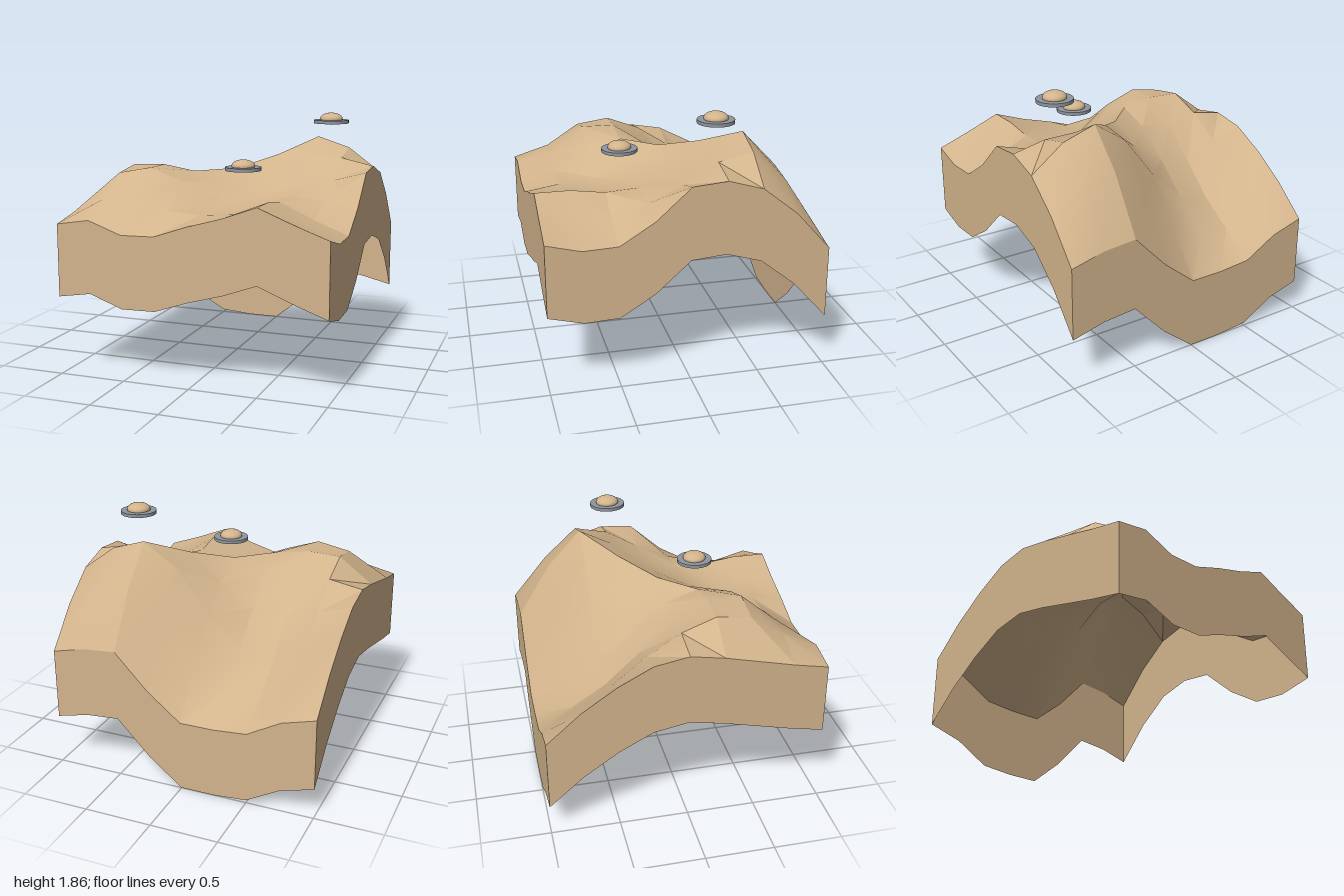
import * as THREE from 'three';
import { toCreasedNormals } from 'three/addons/utils/BufferGeometryUtils.js';

// Ground heights, one row per z from back to front, one column per x
const HEIGHTS = [
  [0.77, 0.70, 0.56, 0.54, 0.54, 0.74, 1.00, 0.98, 0.92],
  [0.99, 0.86, 0.72, 0.74, 0.86, 1.15, 1.40, 1.36, 1.20],
  [1.16, 1.02, 0.88, 0.95, 1.18, 1.50, 1.665, 1.585, 1.40],
  [1.29, 1.22, 1.11, 1.17, 1.33, 1.54, 1.535, 1.53, 1.475],
  [1.335, 1.38, 1.33, 1.36, 1.45, 1.40, 1.37, 1.385, 1.455],
  [1.29, 1.475, 1.485, 1.445, 1.35, 1.285, 1.30, 1.27, 1.23],
  [1.23, 1.44, 1.487, 1.40, 1.23, 1.22, 1.285, 1.17, 1.075],
  [1.17, 1.28, 1.28, 1.22, 1.20, 1.22, 1.32, 1.18, 1.065],
  [1.12, 1.16, 1.07, 1.075, 1.16, 1.23, 1.32, 1.22, 1.13],
];
const CELLS = 8;
const SKIRT = 0.53;

export function createModel() {
  const model = new THREE.Group();
  const sand = new THREE.MeshStandardMaterial({ color: 0xd2b48c, side: THREE.DoubleSide });
  sand.name = 'sand';
  const grey = new THREE.MeshStandardMaterial({ color: 0x8e959d });
  grey.name = 'grey';

  const add = (name, geometry, material, parent = model) => {
    const mesh = new THREE.Mesh(geometry, material);
    mesh.name = name;
    parent.add(mesh);
    return mesh;
  };

  // Rolling ground surface
  const ground = new THREE.PlaneGeometry(2, 2, CELLS, CELLS).rotateX(-Math.PI / 2);
  const p = ground.attributes.position;
  for (let i = 0; i < p.count; i++) {
    p.setY(i, HEIGHTS[Math.floor(i / (CELLS + 1))][i % (CELLS + 1)]);
  }
  add('terrain', toCreasedNormals(ground, 0.4), sand);

  // Side walls hang from the ground's edge; the underside stays open
  const wall = (name, heights, turn) => {
    const g = new THREE.PlaneGeometry(2, 1, CELLS, 1);
    const q = g.attributes.position;
    for (let i = 0; i <= CELLS; i++) {
      q.setY(i, heights[i]);
      q.setY(i + CELLS + 1, heights[i] - SKIRT);
    }
    g.translate(0, 0, 1).rotateY(turn);
    add(name, g, sand);
  };
  const column = (c) => HEIGHTS.map((row) => row[c]);
  wall('frontWall', HEIGHTS[CELLS], 0);
  wall('backWall', [...HEIGHTS[0]].reverse(), Math.PI);
  wall('leftWall', column(CELLS).reverse(), Math.PI / 2);
  wall('rightWall', column(0), -Math.PI / 2);

  // Two hovering saucers: a flat rim around a squashed dome
  for (const [x, y, z] of [[0.165, 1.487, 0.33], [0.665, 1.802, -0.25]]) {
    const saucer = new THREE.Group();
    saucer.name = 'saucer';
    saucer.position.set(x, y, z);
    add('rim', new THREE.CylinderGeometry(0.132, 0.132, 0.025, 48), grey, saucer);
    const dome = add('dome', new THREE.SphereGeometry(0.086, 32, 20), sand, saucer);
    dome.scale.y = 0.53;
    dome.position.y = 0.021;
    model.add(saucer);
  }
  return model;
}
